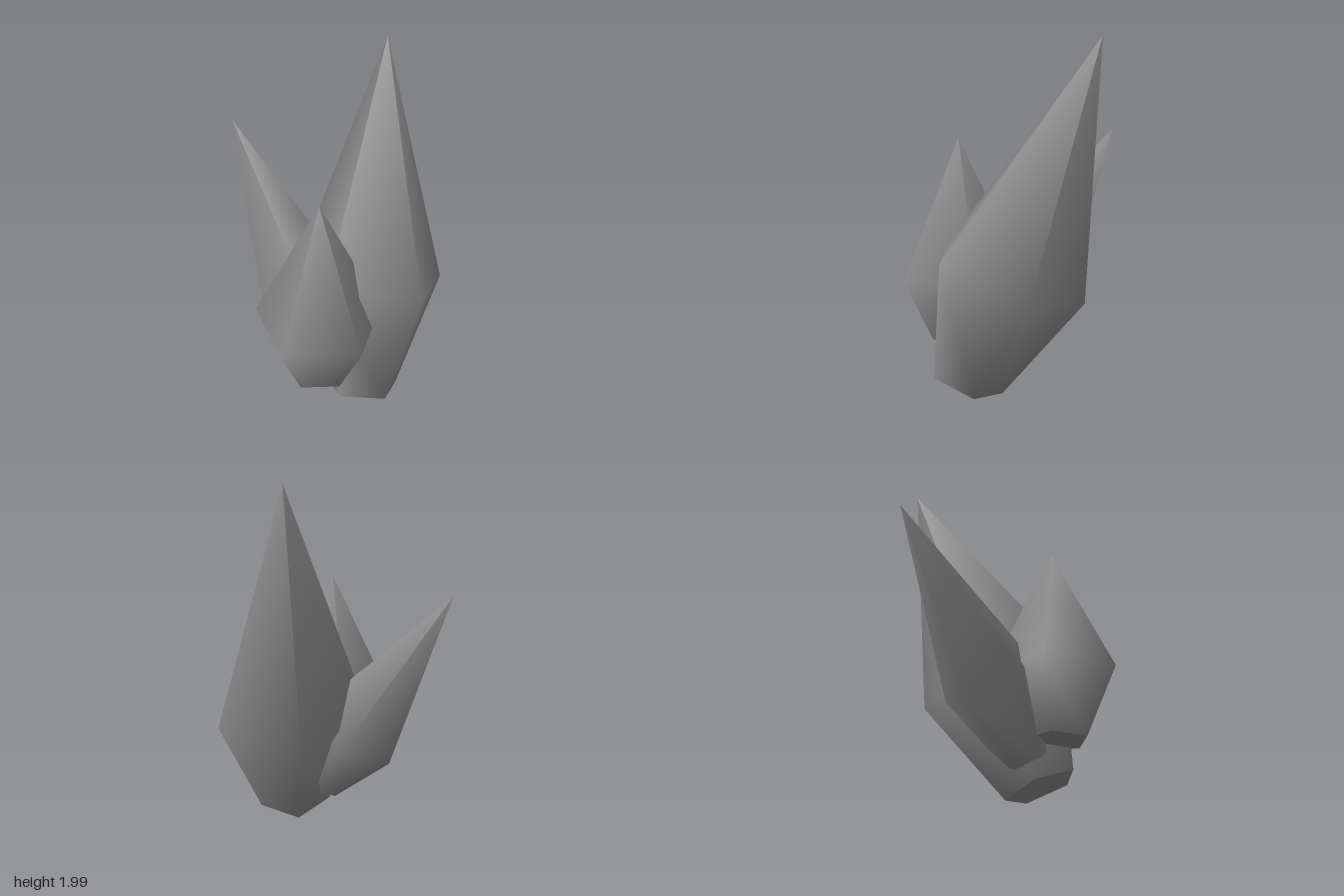
import * as THREE from 'three';

const SIDES = 5;

// A five-sided shard: pointed tip, wide shoulder, narrower flat base.
// corner is the direction from the axis to one of the five edges.
function crystal(name, material, { base, tip, shoulder, shoulderR, baseR, corner }) {
  const from = new THREE.Vector3(...base);
  const axis = new THREE.Vector3(...tip).sub(from);
  const length = axis.length();
  axis.normalize();

  const group = new THREE.Group();
  group.name = name;

  const profile = [
    new THREE.Vector2(baseR, 0),
    new THREE.Vector2(shoulderR, length * shoulder),
    new THREE.Vector2(0, length),
  ];
  const body = new THREE.Mesh(new THREE.LatheGeometry(profile, SIDES), material);
  body.name = name + 'Body';

  // Flat cap, turned so its corners meet the body's
  const capGeometry = new THREE.CircleGeometry(baseR, SIDES, Math.PI / 2);
  capGeometry.rotateX(Math.PI / 2).rotateY(0);
  const cap = new THREE.Mesh(capGeometry, material);
  cap.name = name + 'Base';
  group.add(body, cap);

  // Stand the shard along its axis with one edge towards corner
  const z = new THREE.Vector3(...corner);
  z.addScaledVector(axis, -z.dot(axis)).normalize();
  const x = new THREE.Vector3().crossVectors(axis, z);
  group.quaternion.setFromRotationMatrix(new THREE.Matrix4().makeBasis(x, axis, z));
  group.position.copy(from);
  return group;
}

export function createModel() {
  const stone = new THREE.MeshStandardMaterial({ color: 0x8c8c8c });
  stone.name = 'grey stone';

  const model = new THREE.Group();
  model.name = 'crystalCluster';
  model.add(
    crystal('tallCrystal', stone, {
      base: [0.427, 0.086, 0.014], tip: [-0.075, 2, -0.54],
      shoulder: 0.324, shoulderR: 0.45, baseR: 0.217, corner: [0.968, 0.251, 0],
    }),
    crystal('leaningCrystal', stone, {
      base: [0.265, 0.205, 0.075], tip: [-0.69, 1.42, 0.095],
      shoulder: 0.304, shoulderR: 0.28, baseR: 0.14, corner: [-0.78, -0.613, 0.122],
    }),
    crystal('uprightCrystal', stone, {
      base: [0.315, 0.275, 0.245], tip: [0.315, 1.42, 0.245],
      shoulder: 0.323, shoulderR: 0.37, baseR: 0.185, corner: [1, 0, 0],
    }),
  );
  return model;
}
